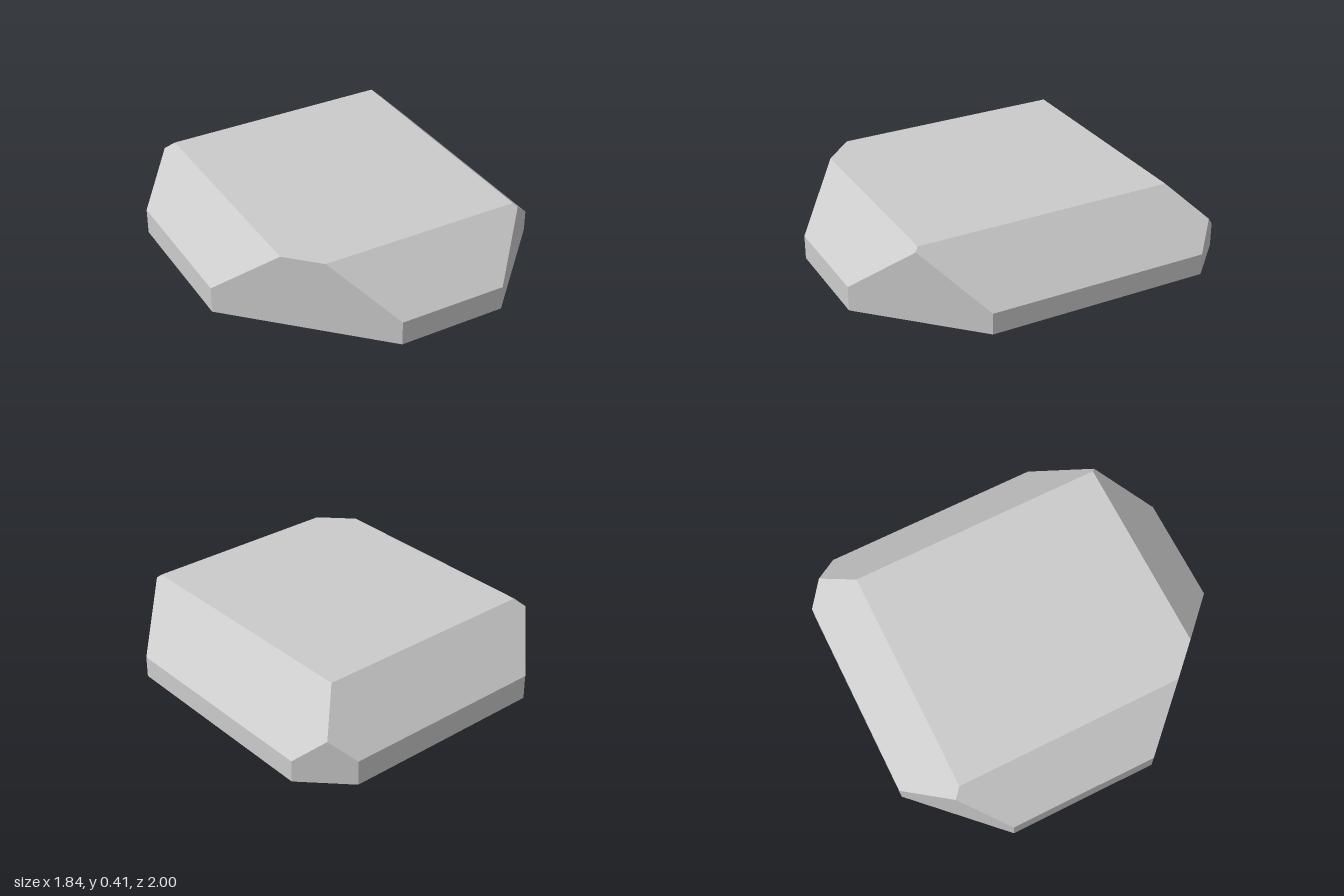
import * as THREE from 'three';
import { ConvexGeometry } from 'three/addons/geometries/ConvexGeometry.js';

// Cutting planes of the slab: outward direction (x, y, z) and limit, a point p is inside when p . dir <= limit
const cuts = [
  [0, -1, 0, 0], [0, 1, 0, 0.414],                              // underside and top
  [1, 0, 0, 0.92], [-1, 0, 0, 0.92], [0, 0, 1, 1], [0, 0, -1, 1], // upright sides
  [1, 0, 1, 1.385], [-1, 0, 1, 1.212],                          // front corners
  [1, 0, -1, 1.693], [-1, 0, -1, 1.467],                        // back corners
  [1, 1, 0, 1.039], [-1, 1, 0, 1.068],                          // left and right bevels
  [0, 1, 1, 1.136], [0, 1, -1, 1.136],                          // front and back bevels
].map(([x, y, z, limit]) => ({ dir: new THREE.Vector3(x, y, z), limit }));

// Corners of the solid: points where three planes meet that lie inside all the others
function solidCorners(planes) {
  const corners = [];
  for (let i = 0; i < planes.length; i++)
    for (let j = i + 1; j < planes.length; j++)
      for (let k = j + 1; k < planes.length; k++) {
        const [a, b, c] = [planes[i], planes[j], planes[k]];
        const bc = b.dir.clone().cross(c.dir);
        const det = a.dir.dot(bc);
        if (Math.abs(det) < 1e-6) continue;
        const p = bc.multiplyScalar(a.limit)
          .addScaledVector(c.dir.clone().cross(a.dir), b.limit)
          .addScaledVector(a.dir.clone().cross(b.dir), c.limit)
          .divideScalar(det);
        const inside = planes.every(q => p.dot(q.dir) <= q.limit + 1e-6);
        if (inside && !corners.some(q => q.distanceTo(p) < 1e-4)) corners.push(p);
      }
  return corners;
}

export function createModel() {
  const group = new THREE.Group();
  group.name = 'bevelledSlab';
  const slab = new THREE.Mesh(
    new ConvexGeometry(solidCorners(cuts)),
    new THREE.MeshStandardMaterial({ color: 0xcccccc, flatShading: true })
  );
  slab.name = 'slab';
  group.add(slab);
  return group;
}
